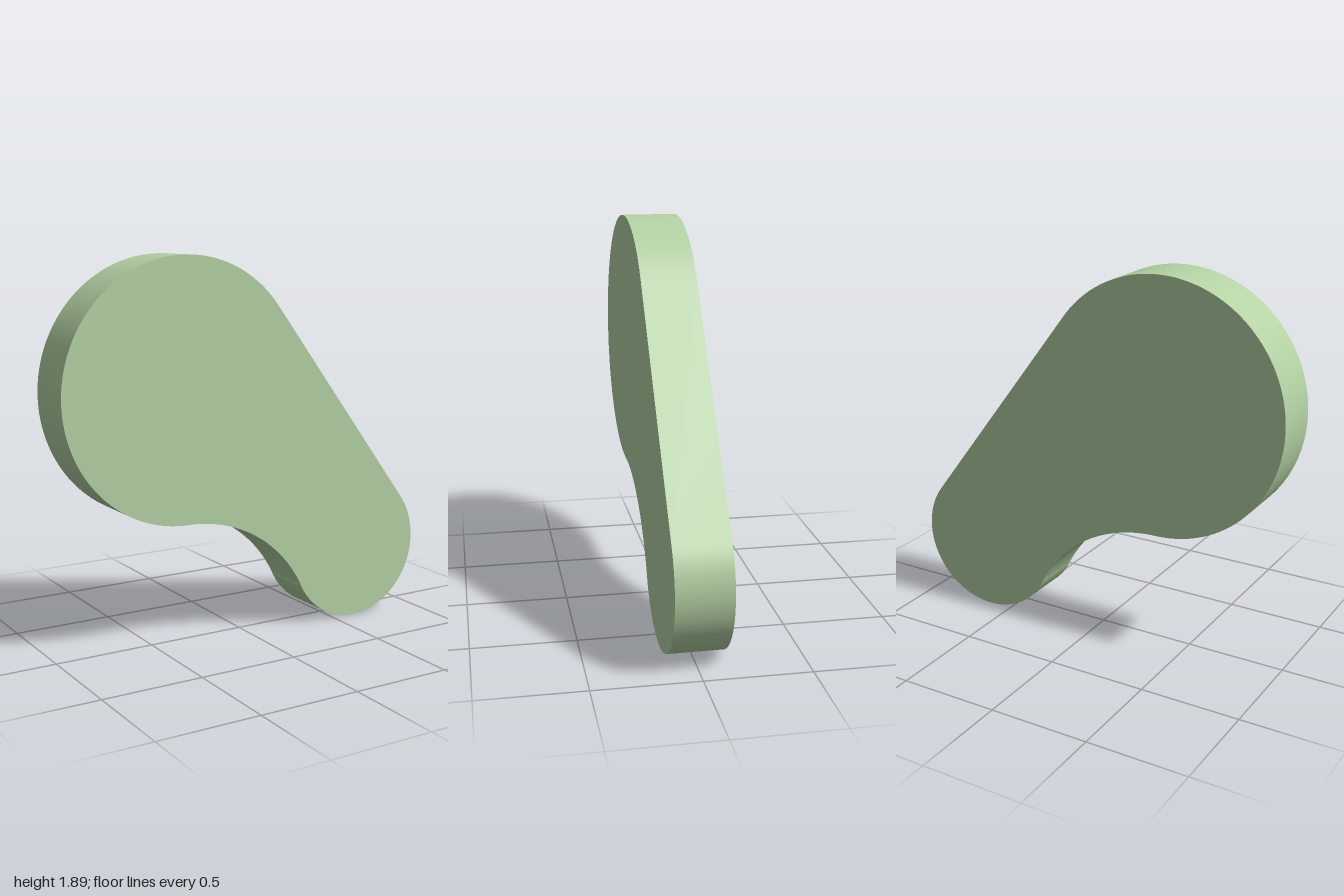
import * as THREE from 'three';
import { toCreasedNormals } from 'three/addons/utils/BufferGeometryUtils.js';

export function createModel() {
  const group = new THREE.Group();
  group.name = 'roundedPlate';

  // Two lobes, and the hollow circle that blends them underneath
  const big = { x: -0.364, y: 1.25, r: 0.636 };
  const small = { x: 0.625, y: 0.375, r: 0.375 };
  const hollow = { x: big.x, y: -0.116, r: 0.73 };

  // Angle of the straight edge's normal (outer tangent of both lobes)
  const dx = small.x - big.x, dy = small.y - big.y;
  const tangent = Math.atan2(dy, dx) + Math.acos((big.r - small.r) / Math.hypot(dx, dy));
  // Angle at which the hollow meets the small lobe
  const meet = Math.atan2(small.y - hollow.y, small.x - hollow.x);

  const outline = new THREE.Shape();
  outline.absarc(big.x, big.y, big.r, tangent, Math.PI * 1.5, false);
  outline.absarc(hollow.x, hollow.y, hollow.r, Math.PI / 2, meet, true);
  outline.absarc(small.x, small.y, small.r, meet + Math.PI, tangent + Math.PI * 2, false);
  outline.closePath();

  // Flat plate with a smooth rim and sharp edges
  const depth = 0.268;
  const geometry = new THREE.ExtrudeGeometry(outline, { depth, bevelEnabled: false, curveSegments: 64 });
  geometry.translate(0, 0, -depth / 2);
  const plate = new THREE.Mesh(
    toCreasedNormals(geometry, Math.PI / 6),
    new THREE.MeshStandardMaterial({ color: 0xb4d2a4 })
  );
  plate.name = 'plate';
  plate.rotation.y = 0.006; // very slight turn
  group.add(plate);
  return group;
}
